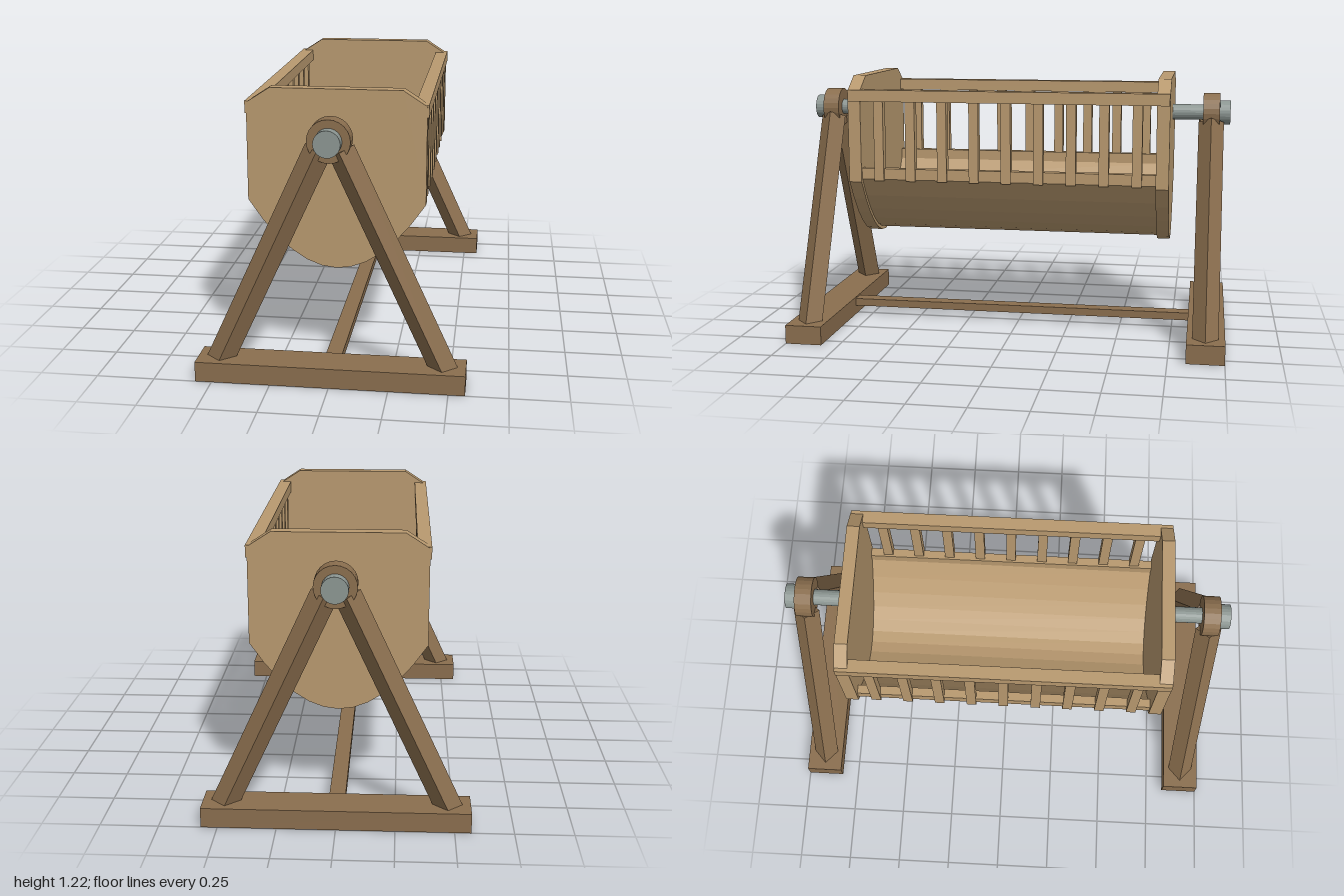
import * as THREE from 'three';

const cradleWood = new THREE.MeshStandardMaterial({ color: 0xb8996f, flatShading: true });
const frameWood = new THREE.MeshStandardMaterial({ color: 0x8a6e4e, flatShading: true });
const steel = new THREE.MeshStandardMaterial({ color: 0x8c9692, flatShading: true });

const PIVOT_Y = 1.047;

function add(parent, name, geometry, material, x = 0, y = 0, z = 0) {
  const mesh = new THREE.Mesh(geometry, material);
  mesh.name = name;
  mesh.position.set(x, y, z);
  parent.add(mesh);
  return mesh;
}

// Box given by its min/max extents on each axis
function block(parent, name, material, [x0, x1], [y0, y1], [z0, z1]) {
  return add(parent, name, new THREE.BoxGeometry(x1 - x0, y1 - y0, z1 - z0), material,
    (x0 + x1) / 2, (y0 + y1) / 2, (z0 + z1) / 2);
}

// Extrusion along z, centred on its depth
function slab(shape, depth) {
  return new THREE.ExtrudeGeometry(shape, { depth, bevelEnabled: false, curveSegments: 12 })
    .translate(0, 0, -depth / 2);
}

// Cylinder lying along z
function rod(radius, length, sides) {
  return new THREE.CylinderGeometry(radius, radius, length, sides).rotateX(Math.PI / 2);
}

// Square post turned on its edge, running between two points
function post(parent, name, from, to) {
  const axis = to.clone().sub(from);
  const mesh = add(parent, name, new THREE.CylinderGeometry(0.058, 0.058, axis.length(), 4), frameWood);
  mesh.position.copy(from).add(to).multiplyScalar(0.5);
  mesh.quaternion.setFromUnitVectors(new THREE.Vector3(0, 1, 0), axis.normalize());
}

// End panel outline: clipped top corners and a parabolic belly
function panelShape() {
  const s = new THREE.Shape();
  s.moveTo(-0.38, 0.735);
  s.quadraticCurveTo(0, 0.147, 0.38, 0.735);
  s.lineTo(0.38, 1.155);
  s.lineTo(0.28, 1.22);
  s.lineTo(-0.28, 1.22);
  s.lineTo(-0.38, 1.155);
  s.closePath();
  return s;
}

// Cross-section of the curved floor
function troughShape() {
  const s = new THREE.Shape();
  s.moveTo(-0.368, 0.75);
  s.quadraticCurveTo(0, 0.164, 0.368, 0.75);
  s.lineTo(0.328, 0.75);
  s.quadraticCurveTo(0, 0.214, -0.328, 0.75);
  s.closePath();
  return s;
}

function buildCradle() {
  const cradle = new THREE.Group();
  cradle.name = 'cradle';
  add(cradle, 'trough', slab(troughShape(), 1.37), cradleWood);
  for (const s of [1, -1]) {
    add(cradle, 'endPanel', slab(panelShape(), 0.058), cradleWood, 0, 0, s * 0.705);

    // Slatted side
    const side = new THREE.Group();
    side.name = s > 0 ? 'leftSide' : 'rightSide';
    const span = (a, b) => (s > 0 ? [a, b] : [-b, -a]);
    block(side, 'topRail', cradleWood, span(0.328, 0.387), [1.108, 1.161], [-0.732, 0.732]);
    block(side, 'lowerRail', cradleWood, span(0.328, 0.368), [0.748, 0.798], [-0.68, 0.68]);
    for (let i = -4; i <= 4; i++) {
      const z = i * 0.148;
      block(side, 'slat', cradleWood, span(0.338, 0.379), [0.742, 1.11], [z - 0.022, z + 0.022]);
    }
    cradle.add(side);
  }
  return cradle;
}

function buildStand(s) {
  const stand = new THREE.Group();
  stand.name = s > 0 ? 'frontStand' : 'backStand';
  const z = s * 0.913;
  add(stand, 'foot', new THREE.BoxGeometry(1.14, 0.087, 0.17), frameWood, 0, 0.0435, s * 0.915);
  for (const side of [1, -1]) {
    post(stand, 'leg', new THREE.Vector3(side * 0.488, 0.05, z), new THREE.Vector3(side * 0.047, 1.006, z));
  }

  // Bearing ring around the pivot
  const ring = new THREE.Shape().absarc(0, 0, 0.09, 0, Math.PI * 2);
  ring.holes.push(new THREE.Path().absarc(0, 0, 0.036, 0, Math.PI * 2, true));
  add(stand, 'bearing', slab(ring, 0.076), frameWood, 0, PIVOT_Y, z);

  // Pivot shaft and its end cap
  add(stand, 'axle', rod(0.036, 0.25, 20), steel, 0, PIVOT_Y, s * 0.845);
  add(stand, 'axleCap', rod(0.056, 0.048, 24), steel, 0, PIVOT_Y, s * 0.976);
  return stand;
}

export function createModel() {
  const model = new THREE.Group();
  model.name = 'swingingCradle';
  model.add(buildCradle(), buildStand(1), buildStand(-1));
  // Stretcher joining the two feet
  block(model, 'stretcher', frameWood, [-0.035, 0.035], [0.044, 0.08], [-0.84, 0.84]);
  return model;
}
